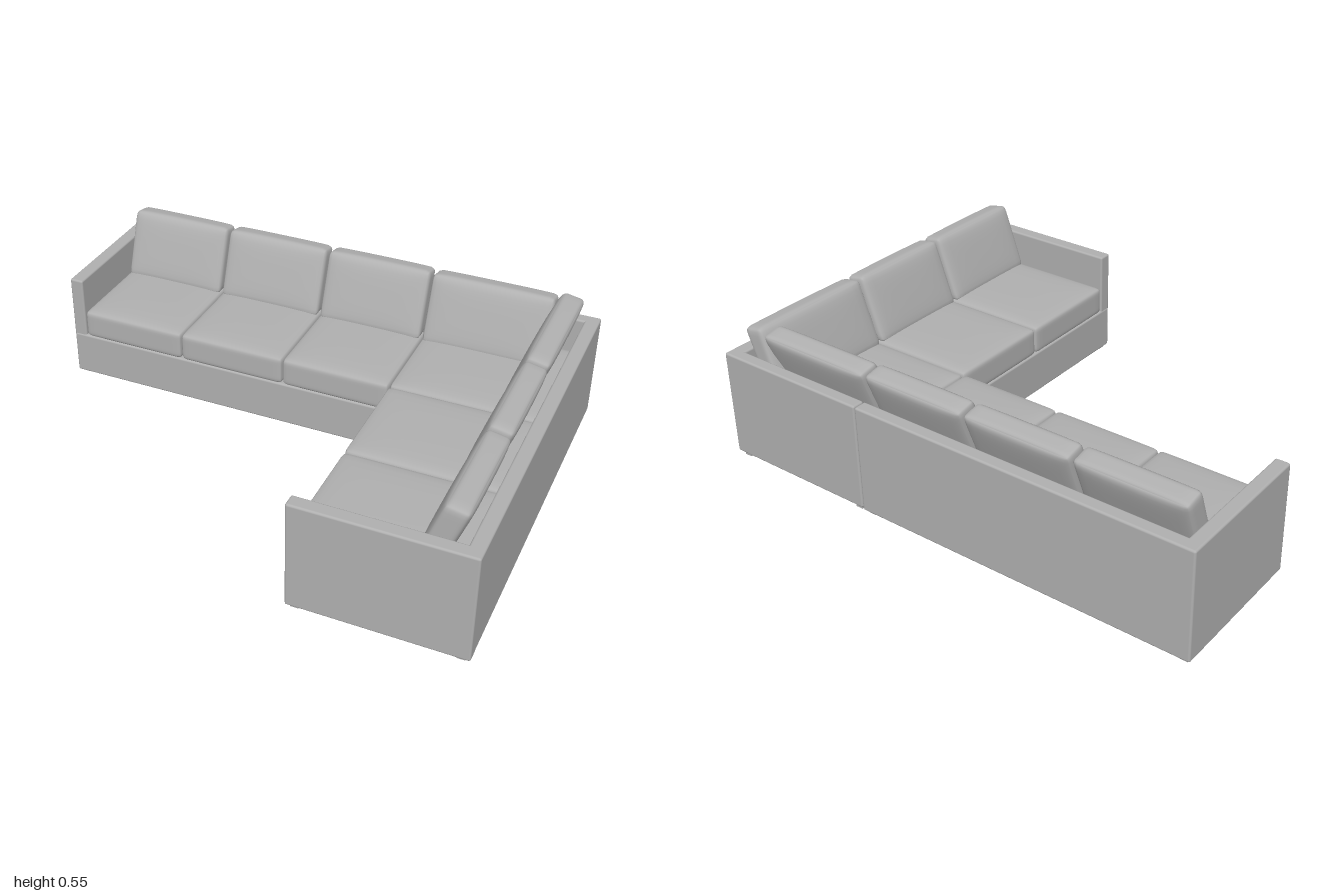
import * as THREE from 'three';
import { mergeVertices } from 'three/addons/utils/BufferGeometryUtils.js';
import { RoundedBoxGeometry } from 'three/addons/geometries/RoundedBoxGeometry.js';

const fabric = new THREE.MeshStandardMaterial({ color: 0xb0b0b0 });
fabric.name = 'grey fabric';

// Upholstered panel given by its min and max corners
function panel(name, x0, x1, y0, y1, z0, z1, r = 0.008) {
  const m = new THREE.Mesh(new RoundedBoxGeometry(x1 - x0, y1 - y0, z1 - z0, 2, r), fabric);
  m.position.set((x0 + x1) / 2, (y0 + y1) / 2, (z0 + z1) / 2);
  m.name = name;
  return m;
}

// Soft pad: box with rounded edges; each face swells by crown [x, y, z]
function pad(w, h, d, r, crown) {
  let g = new THREE.BoxGeometry(2, 2, 2, 14, 14, 14);
  g.deleteAttribute('normal');
  g.deleteAttribute('uv');
  g = mergeVertices(g);
  const half = new THREE.Vector3(w / 2, h / 2, d / 2);
  const core = half.clone().subScalar(r);
  const p = new THREE.Vector3(), inner = new THREE.Vector3();
  const pos = g.attributes.position;
  for (let i = 0; i < pos.count; i++) {
    p.fromBufferAttribute(pos, i);
    const u = ['x', 'y', 'z'].map(a => Math.sin(p[a] * Math.PI / 2)); // denser near the edges
    p.set(...u).multiply(half);
    inner.copy(p).clamp(core.clone().negate(), core);
    p.sub(inner).setLength(r).add(inner);
    const f = u.map(v => 1 - v ** 4);
    p.x += crown[0] * u[0] * f[1] * f[2];
    p.y += crown[1] * u[1] * f[0] * f[2];
    p.z += crown[2] * u[2] * f[0] * f[1];
    pos.setXYZ(i, p.x, p.y, p.z);
  }
  g.computeVertexNormals();
  return g;
}

function seatCushion(x0, x1, z0, z1) {
  const m = new THREE.Mesh(pad(x1 - x0, 0.115, z1 - z0, 0.018, [0, 0.009, 0]), fabric);
  m.position.set((x0 + x1) / 2, 0.244, (z0 + z1) / 2);
  m.name = 'seatCushion';
  return m;
}

// Leaning cushion; its rear top edge lies on local z = 0 and it faces +z
function backCushion(width) {
  const h = 0.25;
  const g = pad(width, h, 0.088, 0.02, [0, 0.003, 0.008]);
  const pos = g.attributes.position;
  for (let i = 0; i < pos.count; i++) {
    const y = pos.getY(i), z = pos.getZ(i);
    const t = y / h + 0.5;
    pos.setZ(i, z + 0.044 + (1 - t) * 0.092);
    pos.setY(i, y + t * z * 0.2);
  }
  g.computeVertexNormals();
  const m = new THREE.Mesh(g, fabric);
  m.name = 'backCushion';
  return m;
}

export function createModel() {
  const sofa = new THREE.Group();
  sofa.name = 'cornerSofa';

  // Long unit along the back
  const longUnit = new THREE.Group();
  longUnit.name = 'longUnit';
  longUnit.add(
    panel('base', -0.998, 0.354, 0.012, 0.19, -0.755, -0.185),
    panel('backPanel', -1, 0.354, 0.014, 0.437, -0.762, -0.71),
    panel('armPanel', -1, -0.945, 0.014, 0.437, -0.762, -0.188)
  );

  // Corner unit running forward
  const cornerUnit = new THREE.Group();
  cornerUnit.name = 'cornerUnit';
  cornerUnit.add(
    panel('base', 0.358, 0.998, 0.014, 0.19, -0.755, 0.755),
    panel('rearPanel', 0.358, 1, 0.018, 0.437, -0.76, -0.71),
    panel('sidePanel', 0.945, 1, 0.018, 0.437, -0.76, 0.76),
    panel('endArmPanel', 0.36, 1, 0.014, 0.437, 0.705, 0.76)
  );

  // Seat and back cushions of the long unit
  const xs = [-0.943, -0.51, -0.075, 0.357];
  for (let i = 0; i < 3; i++) {
    longUnit.add(seatCushion(xs[i] + 0.001, xs[i + 1] - 0.001, -0.71, -0.185));
    const c = backCushion(xs[i + 1] - xs[i] - 0.01);
    c.position.set((xs[i] + xs[i + 1]) / 2, 0.42, -0.713);
    longUnit.add(c);
  }

  // Seat and side cushions of the corner unit
  const zs = [-0.712, -0.19, 0.253, 0.703];
  for (let i = 0; i < 3; i++) {
    cornerUnit.add(seatCushion(0.358, 0.945, zs[i] + 0.001, zs[i + 1] - 0.001));
    const c = backCushion(zs[i + 1] - zs[i] - 0.01);
    c.rotation.y = -Math.PI / 2;
    c.position.set(0.943, 0.42, (zs[i] + zs[i + 1]) / 2);
    cornerUnit.add(c);
  }

  // Rear cushion in the corner
  const corner = backCushion(0.48);
  corner.position.set(0.602, 0.417, -0.713);
  cornerUnit.add(corner);

  // Small feet under both units
  const feet = [[-0.97, -0.73], [-0.97, -0.22], [0.325, -0.73], [0.325, -0.22],
    [0.39, -0.73], [0.965, -0.73], [0.39, 0.73], [0.965, 0.73]];
  for (const [x, z] of feet) {
    const foot = new THREE.Mesh(new THREE.BoxGeometry(0.03, 0.03, 0.03), fabric);
    foot.position.set(x, 0.015, z);
    foot.name = 'foot';
    sofa.add(foot);
  }

  sofa.add(longUnit, cornerUnit);
  return sofa;
}
